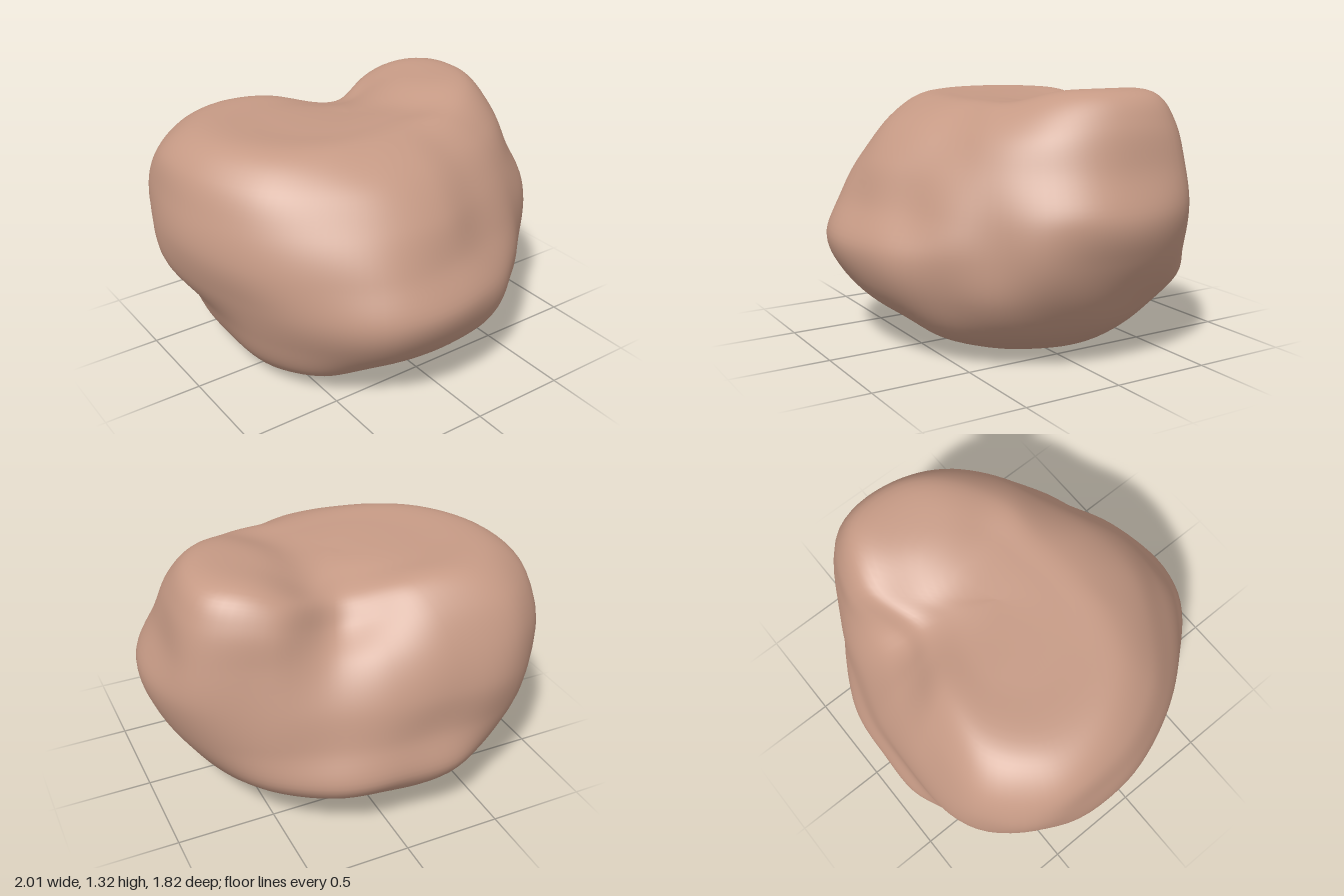
import * as THREE from 'three';

// Horizontal cross-sections: [height, 16 radii from +x round through +z, -x, -z]
const SECTIONS = [
  [0.00, [.41, .40, .40, .38, .37, .42, .53, .60, .61, .60, .54, .43, .37, .37, .39, .41]],
  [0.15, [.69, .70, .72, .73, .68, .71, .78, .77, .75, .77, .76, .68, .62, .61, .62, .66]],
  [0.35, [.85, .87, .86, .88, .91, .94, .90, .86, .84, .87, .89, .87, .82, .83, .84, .83]],
  [0.55, [.95, .95, .89, .92, .98, 1.02, .96, .92, .96, .99, .97, .85, .78, .77, .84, .92]],
  [0.75, [1.00, .96, .86, .83, .87, .93, .94, .95, 1.00, 1.03, 1.00, .85, .75, .72, .82, .97]],
  [0.95, [.91, .87, .78, .73, .78, .82, .85, .90, .97, 1.02, .97, .78, .65, .61, .78, .94]],
  [1.12, [.85, .78, .67, .59, .62, .67, .73, .82, .91, .95, .87, .66, .51, .48, .73, .88]],
  [1.23, [.75, .62, .50, .40, .39, .43, .53, .65, .75, .79, .70, .50, .39, .39, .62, .78]],
];
const CENTRE_Z = -0.1;
const AROUND = 112, UP = 80;

// Flat-topped rise, and a plain soft one
const plateau = (x, z, cx, cz, rx, rz) =>
  Math.exp(-((((x - cx) / rx) ** 2 + ((z - cz) / rz) ** 2) ** 2));
const bump = (x, z, cx, cz, r) => Math.exp(-((x - cx) ** 2 + (z - cz) ** 2) / (r * r));

// Closed smooth loop through one cross-section
function loop(y, radii, scale = 1) {
  const points = radii.map((r, i) => {
    const a = (i / radii.length) * Math.PI * 2;
    return new THREE.Vector3(Math.cos(a) * r * scale, y, CENTRE_Z + Math.sin(a) * r * scale);
  });
  const curve = new THREE.CatmullRomCurve3(points, true);
  return Array.from({ length: AROUND }, (_, i) => curve.getPoint(i / AROUND));
}

// Soft, broad undulation of the stone
function chips(p) {
  const a = Math.sin(p.x * 7.1 + p.y * 3.1 + 1.2) * Math.sin(p.z * 6.3 - p.y * 4.1 + 0.4);
  const b = Math.sin(p.x * 10.3 - p.z * 8.9 + 2.1) * Math.sin(p.y * 8.7 + p.x * 3.3);
  return 0.007 * a + 0.007 * b;
}

function boulderGeometry() {
  const first = SECTIONS[0], last = SECTIONS[SECTIONS.length - 1];
  const loops = [
    loop(0, first[1], 0.001),
    loop(0, first[1], 0.6),
    ...SECTIONS.map(([y, radii]) => loop(y, radii)),
    loop(1.235, last[1], 0.55),
    loop(1.225, last[1], 0.001),
  ];

  // Skin the loops with smooth vertical curves
  const columns = Array.from({ length: AROUND }, (_, j) =>
    new THREE.CatmullRomCurve3(loops.map((l) => l[j])));
  const positions = [], indices = [];
  for (let i = 0; i <= UP; i++) {
    for (let j = 0; j < AROUND; j++) {
      const p = columns[j].getPoint(i / UP);
      const k = 1 + chips(p) * THREE.MathUtils.clamp(p.y / 0.15, 0, 1);
      p.x *= k;
      p.z = CENTRE_Z + (p.z - CENTRE_Z) * k;
      // Raised shoulder on one side, notch in the back edge
      const high = THREE.MathUtils.smoothstep(p.y, 0.75, 1.2);
      p.y += high * (0.07 * plateau(p.x, p.z, 0.6, -0.19, 0.32, 0.38)
        - 0.1 * bump(p.x, p.z, 0.14, -0.52, 0.26));
      positions.push(p.x, Math.max(0, p.y), p.z);
    }
  }
  for (let i = 0; i < UP; i++) {
    for (let j = 0; j < AROUND; j++) {
      const a = i * AROUND + j, b = i * AROUND + ((j + 1) % AROUND);
      indices.push(a, a + AROUND, b, b, a + AROUND, b + AROUND);
    }
  }
  const geometry = new THREE.BufferGeometry();
  geometry.setAttribute('position', new THREE.Float32BufferAttribute(positions, 3));
  geometry.setIndex(indices);
  geometry.computeVertexNormals();
  return geometry;
}

export function createModel() {
  const group = new THREE.Group();
  group.name = 'rock';
  const boulder = new THREE.Mesh(
    boulderGeometry(),
    new THREE.MeshStandardMaterial({ color: 0xc69a85 }),
  );
  boulder.name = 'boulder';
  group.add(boulder);
  return group;
}
